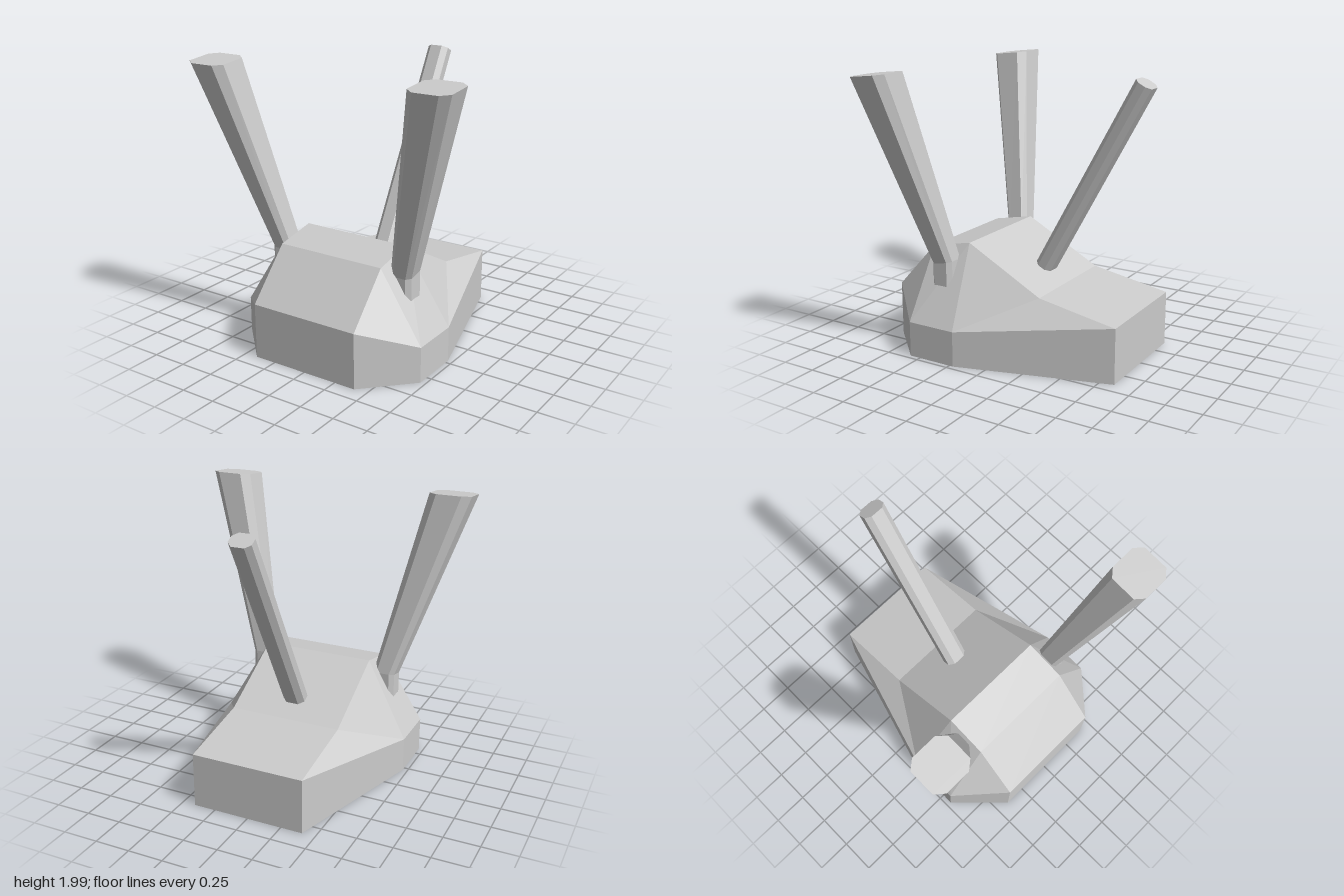
import * as THREE from 'three';

const material = new THREE.MeshStandardMaterial({ color: 0xcccccc, flatShading: true });

// Mesh from convex faces, each a loop of [x, y, z] corners
function facesMesh(name, faces) {
  const pos = [];
  for (const f of faces) {
    for (let i = 1; i < f.length - 1; i++) pos.push(...f[0], ...f[i], ...f[i + 1]);
  }
  const geometry = new THREE.BufferGeometry();
  geometry.setAttribute('position', new THREE.Float32BufferAttribute(pos, 3));
  geometry.computeVertexNormals();
  const mesh = new THREE.Mesh(geometry, material);
  mesh.name = name;
  return mesh;
}

// Chamfered octagon about c with half-extent vectors u and v; fu, fv = flat share of each side
function octagon(c, u, v, fu, fv) {
  const corners = [[1, -fv], [1, fv], [fu, 1], [-fu, 1], [-1, fv], [-1, -fv], [-fu, -1], [fu, -1]];
  return corners.map(([a, b]) => c.map((k, i) => k + a * u[i] + b * v[i]));
}

// Closed solid through rings listed from bottom to top
function loft(name, rings) {
  const faces = [[...rings[0]].reverse(), rings[rings.length - 1]];
  for (let r = 0; r < rings.length - 1; r++) {
    const lo = rings[r], hi = rings[r + 1];
    lo.forEach((p, i) => {
      const j = (i + 1) % lo.length;
      faces.push([p, lo[j], hi[j], hi[i]]);
    });
  }
  return facesMesh(name, faces);
}

function createBody() {
  // Centre profile, front bottom over the top to back bottom
  const p = [[0.89, 0], [0.89, 0.39], [0.58, 0.73], [0.28, 0.79], [-0.28, 0.49], [-0.85, 0.39], [-0.85, 0]]
    .map(([z, y]) => [0.405, y, z]);
  // Widest part of the flank
  const a0 = [0.715, 0, 0.58], a1 = [0.715, 0.25, 0.58];
  const b0 = [0.715, 0, 0.22], b1 = [0.715, 0.25, 0.22];
  const flank = [
    [p[0], a0, a1, p[1]], [a0, b0, b1, a1], [b0, p[6], p[5], b1], // walls
    [p[1], a1, p[2]], [a1, p[3], p[2]], [a1, b1, p[3]], [b1, p[4], p[3]], [b1, p[5], p[4]], // shoulder
    [p[6], b0, a0, p[0]], // underside
  ];
  const flip = ([x, y, z]) => [-x, y, z];
  const faces = [...flank, ...flank.map((f) => f.map(flip).reverse())];
  p.forEach((q, i) => {
    const n = p[(i + 1) % p.length];
    faces.push([flip(q), q, n, flip(n)]);
  });
  return facesMesh('body', faces);
}

export function createModel() {
  const group = new THREE.Group();
  group.add(createBody());

  // Flared front posts, each on a short upright root
  for (const s of [1, -1]) {
    const ring = (x, y, z, hx, hz) => octagon([s * x, y, z], [hx, 0, 0], [0, 0.015, -hz], 0.6, 0.65);
    group.add(loft(s > 0 ? 'leftPost' : 'rightPost', [
      ring(0.49, 0.42, 0.415, 0.08, 0.08),
      ring(0.49, 0.665, 0.415, 0.08, 0.08),
      ring(0.85, 1.975, 0.67, 0.15, 0.14),
    ]));
  }

  // Straight rear post leaning back
  const rear = (y, z) => octagon([0, y, z], [0.082, 0, 0], [0, -0.03, -0.055], 0.55, 0.45);
  group.add(loft('rearPost', [rear(0.5, -0.055), rear(1.92, -0.835)]));
  return group;
}
